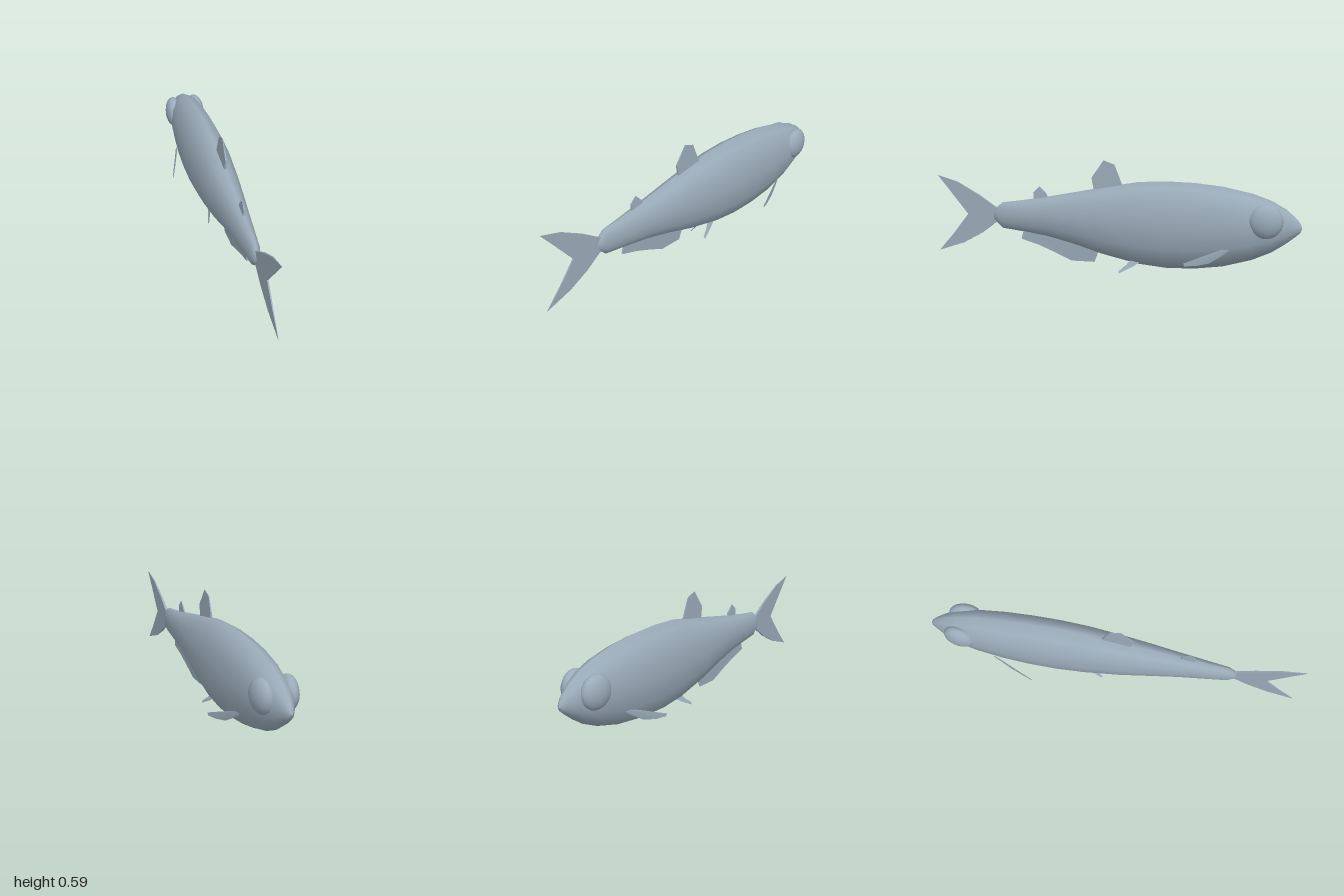
import * as THREE from 'three';

const skin = new THREE.MeshStandardMaterial({ color: 0x9aabb9 });
skin.name = 'silverBlue';
const finSkin = new THREE.MeshStandardMaterial({ color: 0x9aabb9, side: THREE.DoubleSide });
finSkin.name = 'silverBlueThin';

// Body stations: z, top y, bottom y, half width
const STATIONS = [
  [-1.0, 0.277, 0.273, 0.002], [-0.992, 0.298, 0.252, 0.015], [-0.97, 0.325, 0.232, 0.028],
  [-0.92, 0.368, 0.192, 0.053], [-0.85, 0.408, 0.145, 0.077], [-0.75, 0.443, 0.1, 0.096],
  [-0.6, 0.474, 0.058, 0.108], [-0.45, 0.489, 0.038, 0.113], [-0.3, 0.493, 0.034, 0.113],
  [-0.15, 0.485, 0.048, 0.107], [0.05, 0.449, 0.092, 0.092], [0.2, 0.42, 0.136, 0.076],
  [0.35, 0.391, 0.172, 0.058], [0.5, 0.366, 0.194, 0.042], [0.615, 0.35, 0.208, 0.029],
  [0.645, 0.325, 0.235, 0.02], [0.665, 0.3, 0.255, 0.008], [0.668, 0.279, 0.277, 0.001],
];

// Twelve-sided oval rings joined into a smooth skin
function bodyGeometry() {
  const sides = 12, pos = [], index = [];
  for (const [z, top, bottom, w] of STATIONS) {
    for (let j = 0; j < sides; j++) {
      const a = (j / sides) * Math.PI * 2;
      pos.push(Math.sin(a) * w, (top + bottom) / 2 + Math.cos(a) * (top - bottom) / 2, z);
    }
  }
  for (let i = 0; i < STATIONS.length - 1; i++) {
    for (let j = 0; j < sides; j++) {
      const k = (j + 1) % sides;
      const a = i * sides + j, b = a + sides, c = i * sides + k, d = c + sides;
      index.push(a, b, c, c, b, d);
    }
  }
  const g = new THREE.BufferGeometry();
  g.setAttribute('position', new THREE.Float32BufferAttribute(pos, 3));
  g.setIndex(index);
  g.computeVertexNormals();
  return g;
}

// Middle fin from [z, y] points, thinning away from its root
function midFin(name, points, thick, taper) {
  const shape = new THREE.Shape(points.map(([z, y]) => new THREE.Vector2(z, y)));
  const g = new THREE.ExtrudeGeometry(shape, { depth: thick, bevelEnabled: false });
  g.translate(0, 0, -thick / 2).rotateY(-Math.PI / 2);
  const p = g.attributes.position;
  for (let i = 0; i < p.count; i++) {
    const t = THREE.MathUtils.clamp(taper(p.getZ(i), p.getY(i)), 0, 1);
    p.setX(i, p.getX(i) * (1 - 0.85 * t));
  }
  g.computeVertexNormals();
  const mesh = new THREE.Mesh(g, finSkin);
  mesh.name = name;
  return mesh;
}

// Thin paired fin: a fan over an outline of [x, y, z] points
function sideFin(name, points, side) {
  const g = new THREE.BufferGeometry();
  g.setAttribute('position', new THREE.Float32BufferAttribute(
    points.flatMap(([x, y, z]) => [x * side, y, z]), 3));
  const index = [];
  for (let i = 1; i < points.length - 1; i++) {
    index.push(0, side > 0 ? i : i + 1, side > 0 ? i + 1 : i);
  }
  g.setIndex(index);
  g.computeVertexNormals();
  const mesh = new THREE.Mesh(g, finSkin);
  mesh.name = name;
  return mesh;
}

export function createModel() {
  const fish = new THREE.Group();
  fish.name = 'fish';

  const body = new THREE.Mesh(bodyGeometry(), skin);
  body.name = 'body';
  fish.add(body);

  // Fins on the centre line
  fish.add(
    midFin('tailFin', [[0.62, 0.31], [0.66, 0.325], [0.75, 0.385], [0.88, 0.455], [1.0, 0.49],
      [0.91, 0.385], [0.82, 0.278], [0.91, 0.165], [1.0, 0.065], [0.85, 0.115], [0.74, 0.175],
      [0.66, 0.235], [0.62, 0.25]], 0.014, (z) => (z - 0.65) / 0.35),
    midFin('dorsalFin', [[-0.06, 0.44], [-0.06, 0.47], [-0.02, 0.573], [0.04, 0.594],
      [0.105, 0.5], [0.09, 0.42]], 0.012, (z, y) => (y - 0.44) / 0.15),
    midFin('rearDorsalFin', [[0.35, 0.37], [0.36, 0.405], [0.4, 0.445], [0.435, 0.41],
      [0.43, 0.36]], 0.01, (z, y) => (y - 0.38) / 0.065),
    midFin('analFin', [[0.06, 0.13], [0.09, 0.045], [0.22, 0.045], [0.31, 0.085], [0.41, 0.125],
      [0.505, 0.153], [0.49, 0.21], [0.3, 0.18]], 0.012, (z, y) => (0.17 - y) / 0.125),
  );

  // Eyes and paired fins
  for (const [side, label] of [[1, 'left'], [-1, 'right']]) {
    const eye = new THREE.Mesh(new THREE.SphereGeometry(1, 20, 14), skin);
    eye.name = label + 'Eye';
    eye.scale.set(0.046, 0.086, 0.086);
    eye.position.set(0.067 * side, 0.31, -0.825);
    eye.rotation.y = 0.12 * side;
    fish.add(eye);

    fish.add(
      sideFin(label + 'PectoralFin', [[0.095, 0.166, -0.65], [0.09, 0.148, -0.64],
        [0.125, 0.095, -0.55], [0.147, 0.083, -0.485], [0.167, 0.083, -0.43],
        [0.168, 0.097, -0.425], [0.13, 0.14, -0.54], [0.106, 0.165, -0.61]], side),
      sideFin(label + 'PelvicFin', [[0.02, 0.07, -0.18], [0.036, 0.037, -0.13],
        [0.055, 0.0, -0.06], [0.049, 0.012, -0.055], [0.035, 0.04, -0.09],
        [0.02, 0.075, -0.12]], side),
    );
  }
  return fish;
}
